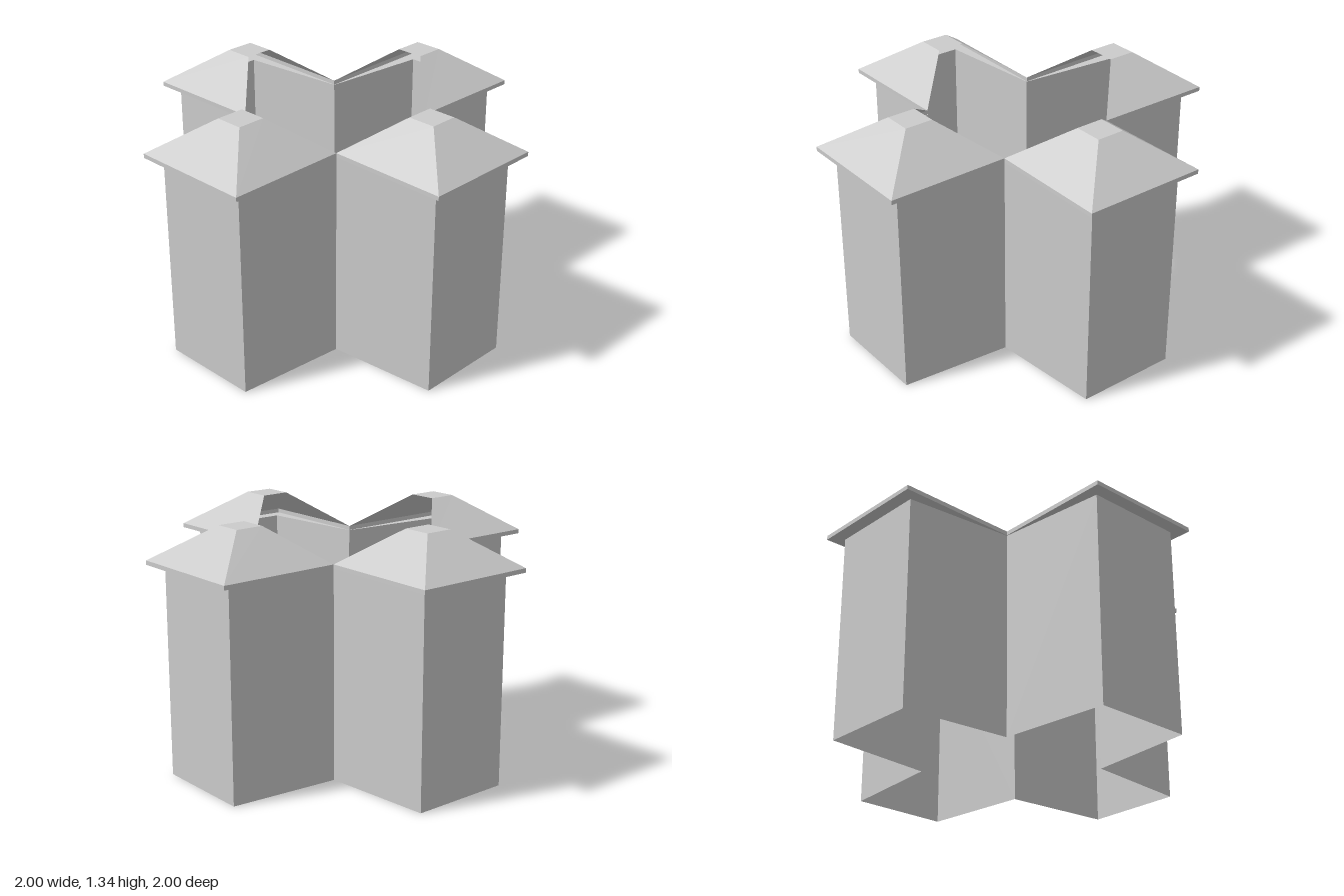
import * as THREE from 'three';

const material = new THREE.MeshStandardMaterial({
  color: 0xcccccc, flatShading: true, side: THREE.DoubleSide,
});

// Joins successive open outlines, each { y, plan: [[x, z], ...] }, from bottom to top
function loft(name, rows) {
  const positions = [];
  for (let r = 0; r < rows.length - 1; r++) {
    const lower = rows[r], upper = rows[r + 1];
    for (let i = 0; i < lower.plan.length - 1; i++) {
      const at = (row, k) => [row.plan[k][0], row.y, row.plan[k][1]];
      const a = at(lower, i), b = at(lower, i + 1);
      const c = at(upper, i + 1), d = at(upper, i);
      positions.push(...a, ...b, ...c, ...a, ...c, ...d);
    }
  }
  const geometry = new THREE.BufferGeometry();
  geometry.setAttribute('position', new THREE.Float32BufferAttribute(positions, 3));
  geometry.computeVertexNormals();
  const mesh = new THREE.Mesh(geometry, material);
  mesh.name = name;
  return mesh;
}

// Three-sided outline, open towards the courtyard
const outline = (innerX, innerZ, outerX, outerZ) => [
  [-innerX, innerZ], [-outerX, outerZ], [outerX, outerZ], [innerX, innerZ],
];

function createWing() {
  const wing = new THREE.Group();
  const wallPlan = outline(0.33, 0.33, 0.275, 0.93);
  const eavePlan = outline(0.333, 0.333, 0.34, 1);
  const capPlan = outline(0.077, 0.58, 0.077, 0.735);
  const eaveBottom = 1.13, eaveTop = 1.153, roofTop = 1.34;

  // Slightly tapering walls, open below and inside
  wing.add(loft('walls', [{ y: 0, plan: wallPlan }, { y: eaveBottom, plan: wallPlan }]));

  // Soffit and fascia
  wing.add(loft('eaves', [
    { y: eaveBottom, plan: wallPlan },
    { y: eaveBottom, plan: eavePlan },
    { y: eaveTop, plan: eavePlan },
  ]));

  // Three hipped slopes
  wing.add(loft('roofSlopes', [{ y: eaveTop, plan: eavePlan }, { y: roofTop, plan: capPlan }]));

  // Flat square at the top of the roof
  const cap = new THREE.Mesh(new THREE.PlaneGeometry(0.154, 0.155), material);
  cap.name = 'roofCap';
  cap.rotation.x = -Math.PI / 2;
  cap.position.set(0, roofTop, 0.6575);
  wing.add(cap);
  return wing;
}

export function createModel() {
  const model = new THREE.Group();
  model.name = 'crossShapedBuilding';
  // Four equal wings around an open courtyard
  ['frontWing', 'leftWing', 'backWing', 'rightWing'].forEach((name, i) => {
    const wing = createWing();
    wing.name = name;
    wing.rotation.y = i * Math.PI / 2;
    model.add(wing);
  });
  return model;
}
